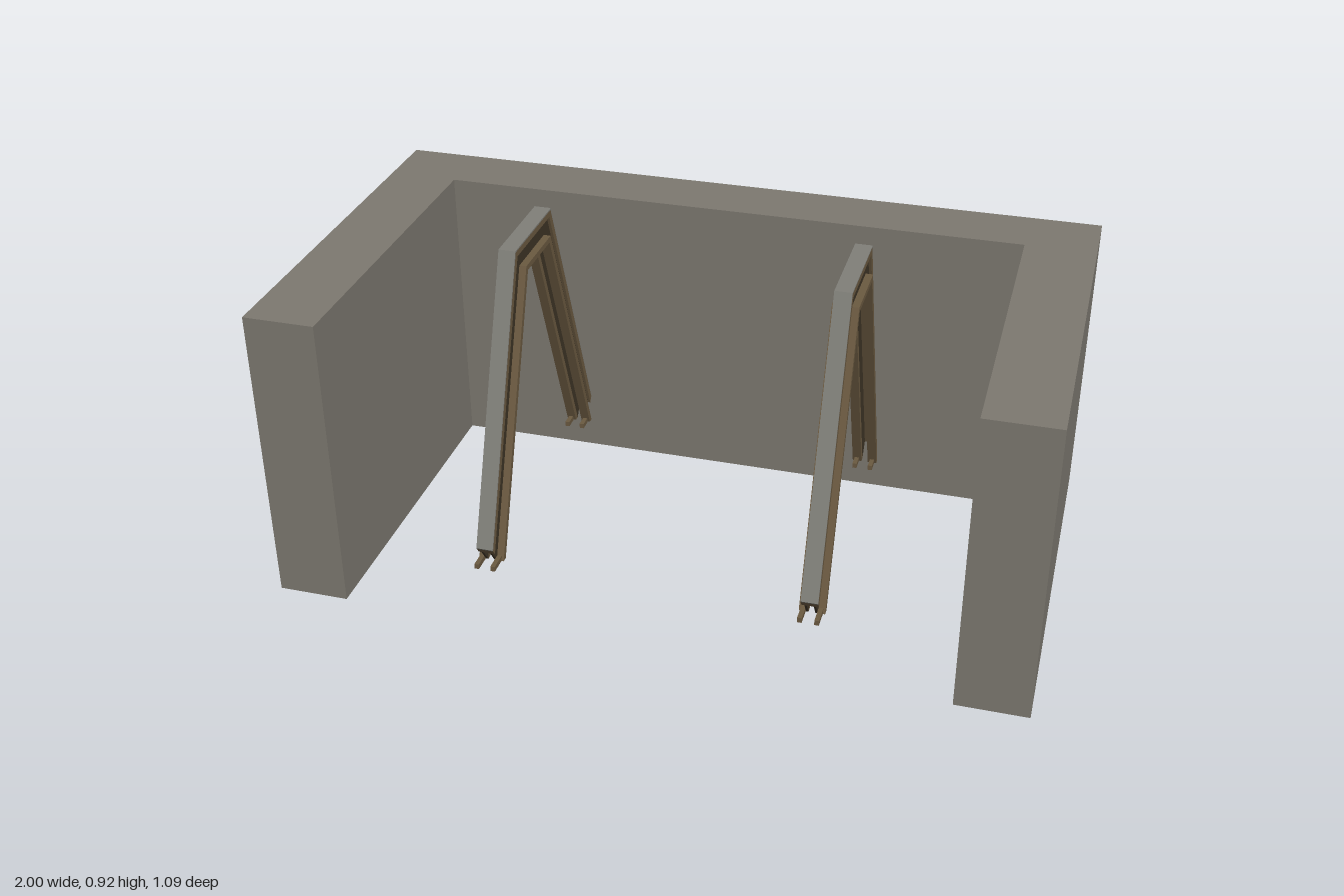
import * as THREE from 'three';

const mat = (name, color, side = THREE.FrontSide) => {
  const m = new THREE.MeshStandardMaterial({ color, side });
  m.name = name;
  return m;
};

export function createModel() {
  const wallGrey = mat('wall grey', 0x7d7970, THREE.DoubleSide);
  const railGrey = mat('rail grey', 0x807f79);
  const brown = mat('brown', 0x6b5a41);
  const darkBrown = mat('dark brown', 0x3e3426);
  const model = new THREE.Group();
  const add = (parent, name, geo, material) => {
    const mesh = new THREE.Mesh(geo, material);
    mesh.name = name;
    parent.add(mesh);
    return mesh;
  };

  // U-shaped wall: a top sheet and side panels, hollow and open underneath
  const H = 0.825;
  const outline = [
    [-1, 0.545], [-0.81, 0.545], [-0.81, -0.37], [0.81, -0.37],
    [0.81, 0.545], [1, 0.545], [1, -0.545], [-1, -0.545],
  ];
  const wall = new THREE.Group();
  wall.name = 'wall';
  model.add(wall);
  const topShape = new THREE.Shape(outline.map(([x, z]) => new THREE.Vector2(x, -z)));
  add(wall, 'wallTop', new THREE.ShapeGeometry(topShape).rotateX(-Math.PI / 2).translate(0, H, 0), wallGrey);
  outline.forEach(([x0, z0], i) => {
    const [x1, z1] = outline[(i + 1) % outline.length];
    const panel = new THREE.PlaneGeometry(Math.hypot(x1 - x0, z1 - z0), H);
    panel.rotateY(-Math.atan2(z1 - z0, x1 - x0));
    panel.translate((x0 + x1) / 2, H / 2, (z0 + z1) / 2);
    add(wall, 'wallPanel', panel, wallGrey);
  });

  // Outline of the bent rail at depth d below its outer face, as (z, y)
  const railPath = (d) => {
    const top = 0.92 - d;
    const bottom = 0.19 - Math.min(d, 0.06);
    const half = (y) => 0.135 + 0.38 * (0.92 - y) - 1.07 * d;
    return [[half(bottom), bottom], [half(top), top], [-half(top), top], [-half(bottom), bottom]]
      .map(([z, y]) => new THREE.Vector2(z + 0.07, y));
  };
  // One layer of the rail between two depths and two x positions
  const railLayer = (d0, d1, x0, x1) => {
    const shape = new THREE.Shape([...railPath(d0), ...railPath(d1).reverse()]);
    return new THREE.ExtrudeGeometry(shape, { depth: x1 - x0, bevelEnabled: false })
      .rotateY(-Math.PI / 2).translate(x1, 0, 0);
  };

  // Two bent rails with a slotted inner side
  for (const x of [-0.43, 0.43]) {
    const frame = new THREE.Group();
    frame.name = x > 0 ? 'leftFrame' : 'rightFrame';
    frame.position.x = x;
    model.add(frame);
    add(frame, 'outerFace', railLayer(0, 0.004, -0.0225, 0.0225), railGrey);
    add(frame, 'cap', railLayer(0.004, 0.02, -0.0225, 0.0225), brown);
    for (const s of [-1, 1]) {
      const span = (a, b) => (s > 0 ? [a, b] : [-b, -a]);
      add(frame, 'web', railLayer(0.02, 0.06, ...span(0.009, 0.015)), darkBrown);
      add(frame, 'flange', railLayer(0.06, 0.075, ...span(0.009, 0.034)), brown);
      // Small prongs at the foot of each leg
      for (const z of [0.46, -0.275]) {
        const prong = add(frame, 'footProng', new THREE.BoxGeometry(0.012, 0.014, 0.06), brown);
        prong.position.set(s * 0.022, 0.137, z);
      }
    }
  }
  return model;
}
